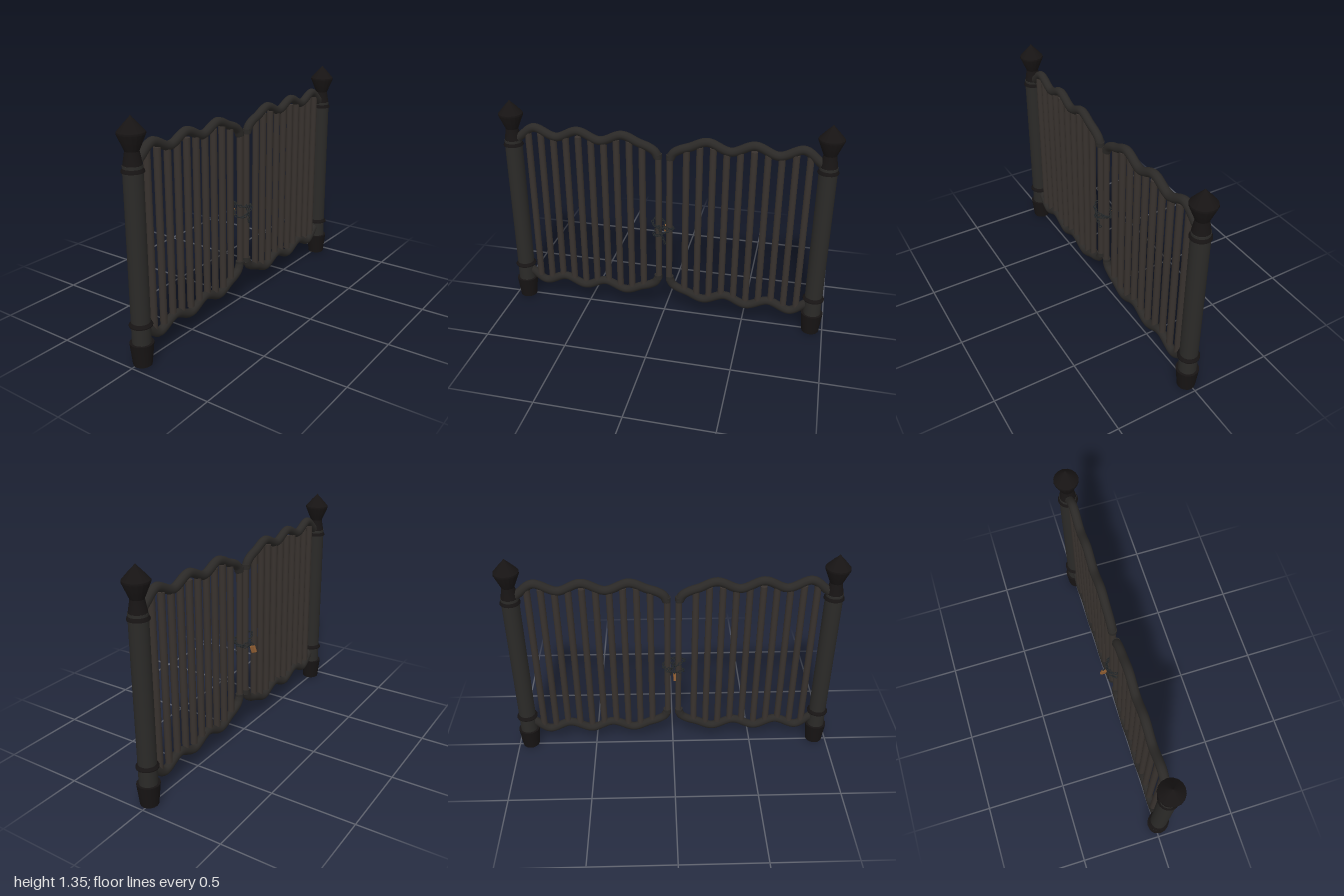
import * as THREE from 'three';
import { toCreasedNormals } from 'three/addons/utils/BufferGeometryUtils.js';
import { RoundedBoxGeometry } from 'three/addons/geometries/RoundedBoxGeometry.js';

const mat = (color) => new THREE.MeshStandardMaterial({ color });
const postMat = mat(0x2b2a28), capMat = mat(0x171414), railMat = mat(0x2b2927);
const barMat = mat(0x38322e), chainMat = mat(0x24282a), brassMat = mat(0x8a5a30);
const MID = 1.31; // top and bottom rails mirror about half this height

function add(parent, name, geometry, material, x = 0, y = 0, z = 0) {
  const mesh = new THREE.Mesh(geometry, material);
  mesh.name = name;
  mesh.position.set(x, y, z);
  parent.add(mesh);
  return mesh;
}

// Turned solid from [radius, height] pairs, with crisp edges
function turned(profile, sides = 16) {
  const pts = profile.map(([r, y]) => new THREE.Vector2(r, y));
  return toCreasedNormals(new THREE.LatheGeometry(pts, sides), 0.5);
}

function makePost(x) {
  const post = new THREE.Group();
  post.name = 'post';
  post.position.x = x;
  add(post, 'postShaft', new THREE.CylinderGeometry(0.052, 0.052, 1.0, 16), postMat, 0, 0.6);
  add(post, 'postFoot', turned([[0, 0], [0.052, 0], [0.066, 0.13], [0, 0.13]]), capMat);
  add(post, 'postRing', turned([[0.05, 0.23], [0.064, 0.23], [0.064, 0.236], [0.052, 0.252], [0.05, 0.252]]), capMat);
  add(post, 'postFinial', turned([[0, 1.065], [0.06, 1.065], [0.058, 1.075], [0.052, 1.085],
    [0.037, 1.17], [0.073, 1.255], [0.072, 1.265], [0.032, 1.31], [0.012, 1.33], [0, 1.345]]), capMat);
  return post;
}

// Wavy rail from the post to its bend at the inner upright
const railPoints = [[0.905, 1.10], [0.87, 1.13], [0.79, 1.185], [0.655, 1.137], [0.52, 1.185], [0.385, 1.137],
  [0.25, 1.183], [0.15, 1.145], [0.09, 1.123], [0.053, 1.098], [0.037, 1.065]];

function makeLeaf(s) {
  const leaf = new THREE.Group();
  leaf.name = s > 0 ? 'leftGateLeaf' : 'rightGateLeaf';
  for (const top of [true, false]) {
    const curve = new THREE.CatmullRomCurve3(railPoints.map(([x, y]) =>
      new THREE.Vector3(s * x, top ? y : MID - y, 0)));
    add(leaf, top ? 'topRail' : 'bottomRail', new THREE.TubeGeometry(curve, 72, 0.026, 10), railMat);
    add(leaf, 'railEnd', new THREE.CylinderGeometry(0.025, 0.025, 0.03, 10), railMat,
      s * 0.037, top ? 1.073 : 0.252);
  }
  // Vertical bars reach into the rails
  for (let i = 0; i < 10; i++) {
    add(leaf, 'bar', new THREE.CylinderGeometry(0.02, 0.02, 0.99, 10), barMat, s * (0.131 + i * 0.0773), MID / 2);
  }
  add(leaf, 'innerUpright', new THREE.CylinderGeometry(0.019, 0.019, 0.84, 10), barMat, s * 0.033, MID / 2);
  return leaf;
}

// Interlocking oval links spaced along a curve, each turned a quarter from the last
function makeChain(name, curve, count) {
  const chain = new THREE.Group();
  chain.name = name;
  const step = curve.getLength() / count;
  const link = new THREE.TorusGeometry(0.0075, 0.0028, 6, 12);
  link.scale(step * 1.35 / 0.0206, 1, 1);
  const along = new THREE.Vector3(1, 0, 0);
  for (let i = 0; i < count; i++) {
    const u = (i + 0.5) / count;
    const mesh = add(chain, 'chainLink', link, chainMat);
    mesh.position.copy(curve.getPointAt(u));
    mesh.quaternion.setFromUnitVectors(along, curve.getTangentAt(u));
    mesh.rotateX(i % 2 ? Math.PI / 4 : -Math.PI / 4);
  }
  return chain;
}

// Tilted loop around both inner uprights
function loopCurve(y, tilt, cx) {
  const pts = [];
  for (let i = 0; i < 12; i++) {
    const a = (i / 12) * Math.PI * 2;
    pts.push(new THREE.Vector3(cx + 0.062 * Math.cos(a), y + tilt * Math.cos(a) + 0.008 * Math.sin(a * 2), 0.046 * Math.sin(a)));
  }
  return new THREE.CatmullRomCurve3(pts, true);
}

function makePadlock() {
  const lock = new THREE.Group();
  lock.name = 'padlock';
  add(lock, 'padlockBody', new RoundedBoxGeometry(0.016, 0.044, 0.034, 2, 0.004), brassMat);
  const arch = new THREE.CatmullRomCurve3([[0.015, -0.011], [0.035, -0.011], [0.045, 0], [0.035, 0.011], [0.015, 0.011]]
    .map(([y, z]) => new THREE.Vector3(0, y, z)));
  add(lock, 'padlockShackle', new THREE.TubeGeometry(arch, 20, 0.003, 8), chainMat);
  lock.position.set(-0.008, 0.57, -0.072);
  lock.rotation.x = 0.35;
  return lock;
}

export function createModel() {
  const gate = new THREE.Group();
  gate.name = 'gate';
  for (const s of [1, -1]) gate.add(makePost(s * 0.927), makeLeaf(s));

  // Chain wound round the uprights, with a hanging tail and a padlock behind
  gate.add(makeChain('upperChain', loopCurve(0.627, -0.02, -0.008), 18));
  gate.add(makeChain('lowerChain', loopCurve(0.587, 0.02, -0.002), 18));
  const tail = new THREE.CatmullRomCurve3([[-0.025, 0.64, 0.042], [-0.012, 0.59, 0.045], [0.005, 0.55, 0.04], [0.014, 0.51, 0.03]]
    .map((p) => new THREE.Vector3(...p)));
  gate.add(makeChain('chainTail', tail, 7));
  gate.add(makePadlock());

  gate.position.z = 0.0107;
  const model = new THREE.Group();
  model.name = 'gateModel';
  model.add(gate);
  return model;
}
